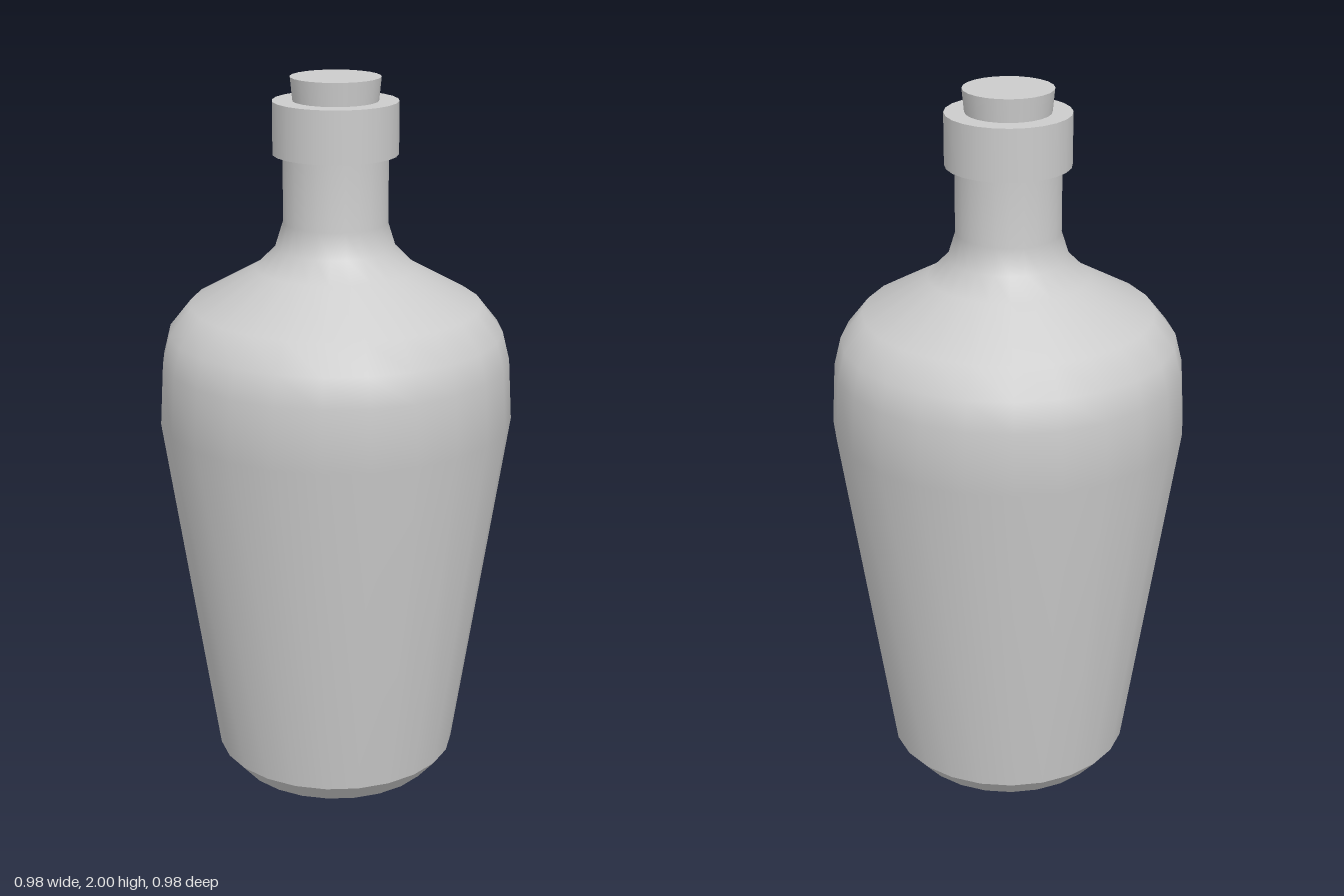
import * as THREE from 'three';

const SEGMENTS = 24;

export function createModel() {
  const bottle = new THREE.Group();
  bottle.name = 'bottle';
  const material = new THREE.MeshStandardMaterial({ color: 0xcccccc, side: THREE.DoubleSide });

  // Revolve a profile of [radius, height] points, smooth within one profile
  const turn = (name, profile) => {
    const points = profile.map(([r, y]) => new THREE.Vector2(r, y));
    const mesh = new THREE.Mesh(new THREE.LatheGeometry(points, SEGMENTS), material);
    mesh.name = name;
    bottle.add(mesh);
  };

  // Upright cylinder between two heights
  const cylinder = (name, rTop, rBottom, y0, y1) => {
    const mesh = new THREE.Mesh(new THREE.CylinderGeometry(rTop, rBottom, y1 - y0, SEGMENTS), material);
    mesh.position.y = (y0 + y1) / 2;
    mesh.name = name;
    bottle.add(mesh);
  };

  // Hollow underside and bevelled foot
  turn('basePunt', [[0, 0.12], [0.1, 0.11], [0.2, 0.075], [0.29, 0]]);
  turn('footBevel', [[0.29, 0], [0.342, 0.06]]);

  // Tapered body, rounded shoulder and neck
  turn('body', [
    [0.342, 0.06], [0.49, 1.06], [0.48, 1.23], [0.46, 1.31], [0.4, 1.385],
    [0.22, 1.485], [0.165, 1.54], [0.143, 1.61], [0.143, 1.81],
  ]);

  // Lip ring and tapered stopper
  cylinder('collar', 0.17, 0.17, 1.795, 1.937);
  cylinder('stopper', 0.122, 0.112, 1.9, 2);

  return bottle;
}
